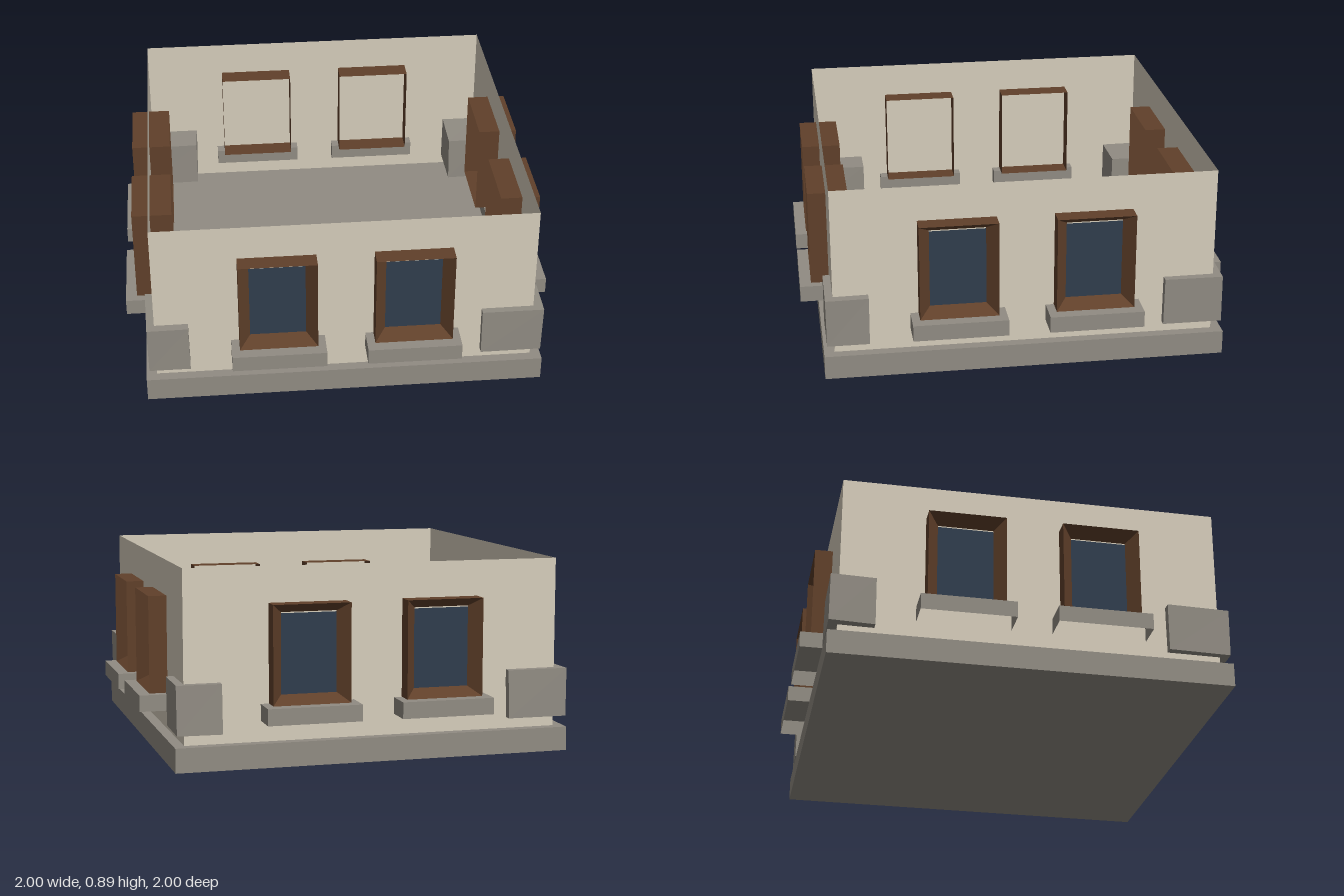
import * as THREE from 'three';

const mat = (color) =>
  new THREE.MeshStandardMaterial({ color, side: THREE.DoubleSide, flatShading: true });

function add(parent, name, geometry, material, x = 0, y = 0, z = 0) {
  const mesh = new THREE.Mesh(geometry, material);
  mesh.name = name;
  mesh.position.set(x, y, z);
  parent.add(mesh);
  return mesh;
}

// Box with some of its faces left out (0 +x, 1 -x, 2 +y, 3 -y, 4 +z, 5 -z)
function openBox(w, h, d, omitted) {
  const box = new THREE.BoxGeometry(w, h, d);
  const index = Array.from(box.index.array);
  box.setIndex(index.filter((_, i) => !omitted.includes(Math.floor(i / 6))));
  box.clearGroups();
  return box;
}

// Box with corners pushed slightly out of true, for rough-cut stone
function roughBox(w, h, d, amount, seed) {
  const box = new THREE.BoxGeometry(w, h, d);
  const p = box.attributes.position;
  for (let i = 0; i < p.count; i++) {
    const [x, y, z] = [p.getX(i), p.getY(i), p.getZ(i)].map(Math.sign);
    const k = seed + x * 1.7 + y * 2.9 + z * 4.3;
    p.setXYZ(i, p.getX(i) + amount * Math.sin(k * 3.1),
      p.getY(i) + amount * 0.4 * Math.sin(k * 5.3),
      p.getZ(i) + amount * Math.sin(k * 7.7));
  }
  box.computeVertexNormals();
  return box;
}

// Mitred reveal: rectangular loops joined from the outer rim back to the glass
function frameGeometry(loops) {
  const pos = [];
  const idx = [];
  for (const [w, h, z] of loops)
    for (const [sx, sy] of [[-1, -1], [1, -1], [1, 1], [-1, 1]])
      pos.push(sx * w / 2, sy * h / 2, z);
  for (let l = 0; l < loops.length - 1; l++)
    for (let i = 0; i < 4; i++) {
      const a = l * 4 + i, b = l * 4 + (i + 1) % 4;
      idx.push(a, b, b + 4, a, b + 4, a + 4);
    }
  const indexed = new THREE.BufferGeometry();
  indexed.setAttribute('position', new THREE.Float32BufferAttribute(pos, 3));
  indexed.setIndex(idx);
  const geometry = indexed.toNonIndexed();
  geometry.computeVertexNormals();
  return geometry;
}

export function createModel() {
  const model = new THREE.Group();
  model.name = 'groundFloor';
  const plaster = mat(0xd6cdbb);
  const stone = mat(0x918c83);
  const wood = mat(0x60402a);
  const glass = mat(0x303d4d);

  const half = 0.865;
  add(model, 'foundation', new THREE.BoxGeometry(1.825, 0.11, 1.825), stone, 0, 0.055, 0);

  const wallGeo = new THREE.PlaneGeometry(half * 2, 0.785);
  // Inner end, outer rim, then sloping back to the glass
  const frameGeo = frameGeometry([[0.354, 0.445, 0.765], [0.354, 0.445, 0.948], [0.254, 0.365, 0.885]]);
  const glassGeo = new THREE.PlaneGeometry(0.254, 0.365);
  const sillGeo = openBox(0.428, 0.075, 0.19, [3]);

  // Four equal sides, each a thin wall with two windows
  for (let i = 0; i < 4; i++) {
    const side = new THREE.Group();
    side.name = ['frontSide', 'leftSide', 'backSide', 'rightSide'][i];
    side.rotation.y = i * Math.PI / 2;
    add(side, 'wall', wallGeo, plaster, 0, 0.4945, half);
    for (const x of [-0.307, 0.307]) {
      add(side, 'windowFrame', frameGeo, wood, x, 0.5025, 0);
      add(side, 'windowGlass', glassGeo, glass, x, 0.4975, 0.885);
      add(side, 'windowSill', sillGeo, stone, x, 0.2415, 0.905);
    }
    model.add(side);
  }

  // Corner stones, long side alternating around the building
  const corners = [
    [0.768, 0.803, 0.275, 0.2],
    [0.803, -0.768, 0.195, 0.275],
    [-0.768, -0.805, 0.275, 0.195],
    [-0.805, 0.763, 0.195, 0.28],
  ];
  corners.forEach(([x, z, w, d], i) => {
    add(model, 'cornerStone', roughBox(w, 0.222, d, 0.005, i * 2.3), stone, x, 0.27, z);
  });

  return model;
}
